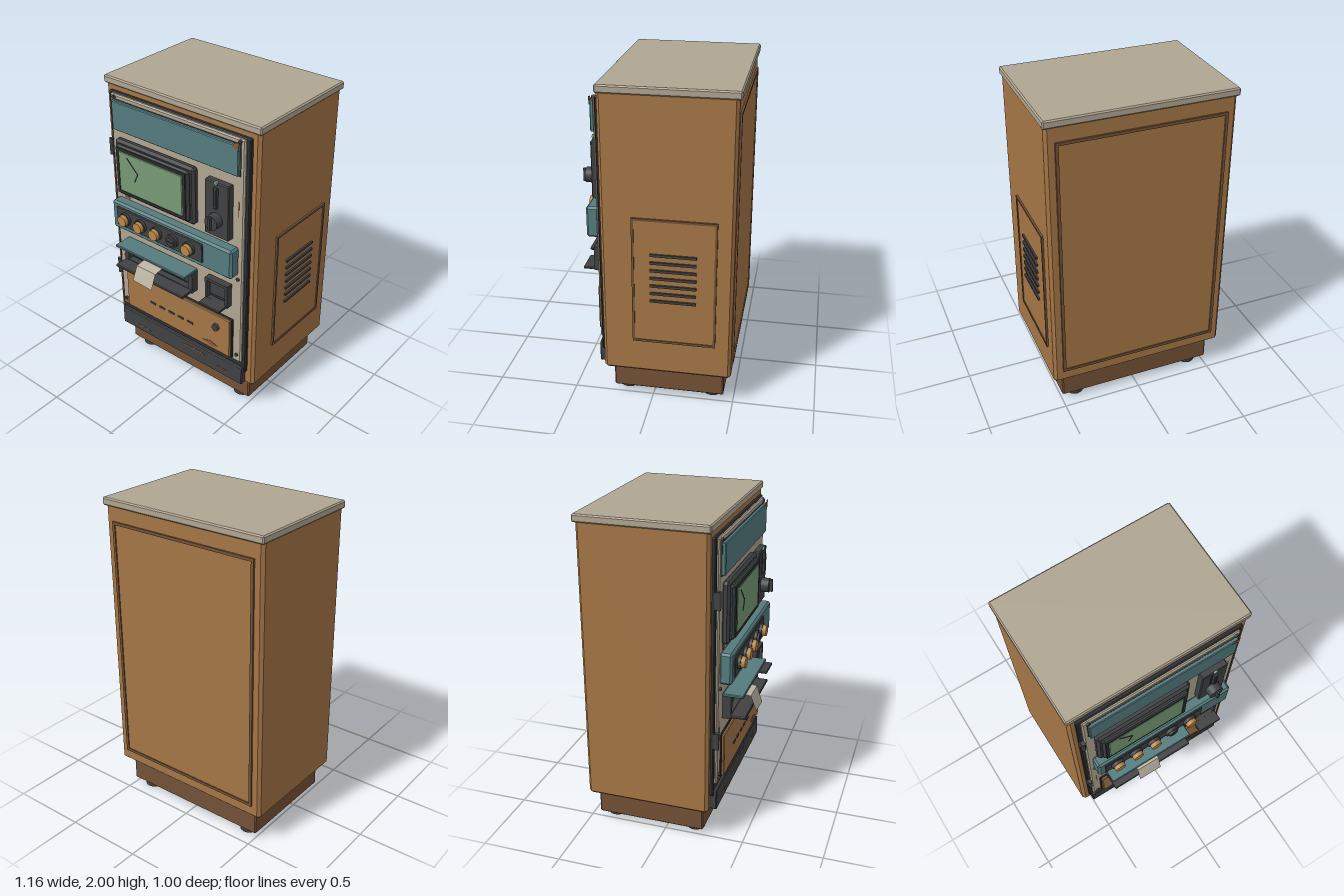
import * as THREE from 'three';
import { ConvexGeometry } from 'three/addons/geometries/ConvexGeometry.js';

function material(name, color, side = THREE.FrontSide) {
  const m = new THREE.MeshStandardMaterial({ color, side });
  m.name = name;
  return m;
}

export function createModel() {
  const model = new THREE.Group();
  model.name = 'vendingTerminal';
  const wood = material('wood', 0xa57646);
  const rust = material('rust', 0x85593a);
  const brown = material('dark brown', 0x745136);
  const cream = material('cream metal', 0xb0a592);
  const teal = material('teal metal', 0x557c7e);
  const dark = material('charcoal', 0x404143);
  const black = material('black', 0x2d2e30);
  const green = material('screen green', 0x779a75);
  const amber = material('amber', 0xba874a);
  const paper = material('paper', 0xbdb4a2, THREE.DoubleSide);

  const add = (name, geometry, mat) => {
    const mesh = new THREE.Mesh(geometry, mat);
    mesh.name = name;
    model.add(mesh);
    return mesh;
  };

  // Box given by its limits, with chamfered edges when c > 0
  const box = (name, mat, x0, x1, y0, y1, z0, z1, c = 0) => {
    const h = [(x1 - x0) / 2, (y1 - y0) / 2, (z1 - z0) / 2];
    let geometry;
    if (c) {
      const pts = [];
      for (const sx of [-1, 1]) for (const sy of [-1, 1]) for (const sz of [-1, 1]) {
        for (let k = 0; k < 3; k++) {
          const d = h.map((v, i) => (i === k ? v : v - c));
          pts.push(new THREE.Vector3(sx * d[0], sy * d[1], sz * d[2]));
        }
      }
      geometry = new ConvexGeometry(pts);
    } else geometry = new THREE.BoxGeometry(2 * h[0], 2 * h[1], 2 * h[2]);
    const mesh = add(name, geometry, mat);
    mesh.position.set((x0 + x1) / 2, (y0 + y1) / 2, (z0 + z1) / 2);
    return mesh;
  };

  // Cylinder pointing forward from z0 to z1
  const disc = (name, mat, x, y, r0, r1, z0, z1, n = 20) => {
    const mesh = add(name, new THREE.CylinderGeometry(r1, r0, z1 - z0, n), mat);
    mesh.rotation.x = Math.PI / 2;
    mesh.position.set(x, y, (z0 + z1) / 2);
  };

  // Rectangular frame, open in the middle, extruded forward
  const frame = (name, mat, x0, x1, y0, y1, z0, z1, t) => {
    const rect = (S, a, b, c, d) => new S([[a, c], [b, c], [b, d], [a, d]].map(p => new THREE.Vector2(...p)));
    const s = rect(THREE.Shape, x0, x1, y0, y1);
    s.holes.push(rect(THREE.Path, x0 + t, x1 - t, y0 + t, y1 - t));
    const geometry = new THREE.ExtrudeGeometry(s, { depth: z1 - z0, bevelEnabled: false });
    return add(name, geometry.translate(0, 0, z0), mat);
  };

  // Thin painted plate facing forward
  const patch = (name, z, points) => {
    const s = new THREE.Shape(points.map(p => new THREE.Vector2(...p)));
    add(name, new THREE.ExtrudeGeometry(s, { depth: 0.003, bevelEnabled: false }), rust).position.z = z - 0.001;
  };

  // Cabinet, worktop, plinth and feet
  box('cabinet', wood, -0.57, 0.562, 0.204, 1.97, -0.487, 0.295, 0.018);
  box('topSlab', cream, -0.58, 0.572, 1.952, 2.0, -0.502, 0.304, 0.008);
  box('plinth', brown, -0.51, 0.498, 0.04, 0.22, -0.44, 0.247, 0.008);
  for (const x of [-0.407, 0.394]) for (const z of [-0.361, 0.172]) {
    add('foot', new THREE.CylinderGeometry(0.06, 0.058, 0.05, 18), dark).position.set(x, 0.025, z);
  }

  // Back panel with raised border
  box('backPanel', wood, -0.505, 0.495, 0.3, 1.85, -0.491, -0.47);
  frame('backPanelBorder', brown, -0.515, 0.505, 0.287, 1.863, -0.498, -0.48, 0.018);

  // Side service panel with louvres
  box('sidePanel', wood, 0.55, 0.568, 0.435, 1.225, -0.385, 0.105);
  frame('sidePanelBorder', brown, -0.11, 0.39, 0.425, 1.235, 0.555, 0.574, 0.014).rotation.y = Math.PI / 2;
  for (let i = 0; i < 7; i++) {
    const y = 0.71 + i * 0.05;
    box('louvre', dark, 0.56, 0.579, y - 0.008, y + 0.008, -0.272, 0.002);
  }

  // Door, hinges and corner screws
  box('doorFrame', black, -0.528, 0.517, 0.31, 1.922, 0.285, 0.316, 0.006);
  box('doorPanel', cream, -0.505, 0.492, 0.385, 1.915, 0.305, 0.332, 0.008);
  for (const y of [0.69, 1.565]) {
    add('hinge', new THREE.CylinderGeometry(0.013, 0.013, 0.108, 12), dark).position.set(-0.516, y, 0.333);
    box('hingeLeaf', dark, -0.528, -0.502, y - 0.05, y + 0.05, 0.3, 0.335);
  }
  for (const x of [-0.47, 0.46]) for (const y of [0.44, 1.01, 1.9]) {
    disc('screw', dark, x, y, 0.012, 0.01, 0.33, 0.342, 10);
  }

  // Header plate
  box('headerEdge', dark, -0.478, 0.467, 1.692, 1.888, 0.325, 0.338);
  box('header', teal, -0.475, 0.465, 1.698, 1.885, 0.33, 0.357, 0.005);

  // Monitor
  box('monitorBack', dark, -0.45, 0.166, 1.277, 1.652, 0.325, 0.375, 0.015);
  box('monitorBezel', dark, -0.425, 0.14, 1.3, 1.63, 0.36, 0.396, 0.012);
  frame('monitorRim', black, -0.412, 0.125, 1.315, 1.62, 0.39, 0.403, 0.018);
  box('screen', green, -0.396, 0.108, 1.33, 1.605, 0.38, 0.405, 0.008);
  const crack = [[-0.325, 1.575], [-0.24, 1.49], [-0.267, 1.43]];
  for (let i = 0; i < 2; i++) {
    const [a, b] = [crack[i], crack[i + 1]];
    const dx = b[0] - a[0], dy = b[1] - a[1];
    const line = add('screenCrack', new THREE.BoxGeometry(Math.hypot(dx, dy), 0.005, 0.003), black);
    line.position.set((a[0] + b[0]) / 2, (a[1] + b[1]) / 2, 0.406);
    line.rotation.z = Math.atan2(dy, dx);
  }

  // Coin panel with slot, button and lock knob
  box('coinPanel', dark, 0.245, 0.417, 1.272, 1.625, 0.325, 0.374, 0.005);
  box('coinSlotPlate', dark, 0.318, 0.344, 1.465, 1.595, 0.37, 0.392, 0.004);
  box('coinSlot', black, 0.326, 0.336, 1.48, 1.58, 0.388, 0.394);
  box('coinSlotGuide', black, 0.306, 0.312, 1.465, 1.595, 0.37, 0.378);
  disc('coinButton', green, 0.33, 1.625, 0.014, 0.013, 0.37, 0.383, 12);
  disc('lockKnob', dark, 0.33, 1.387, 0.047, 0.045, 0.37, 0.425, 24);
  box('lockKnobGrip', dark, 0.323, 0.337, 1.347, 1.427, 0.415, 0.444);

  // Control band with five knobs, the fourth missing its cap
  box('controlBand', teal, -0.475, 0.463, 1.04, 1.235, 0.325, 0.404, 0.013);
  box('controlPlate', dark, -0.432, 0.255, 1.077, 1.207, 0.395, 0.413, 0.004);
  [-0.352, -0.224, -0.096, 0.032, 0.16].forEach((x, i) => {
    disc('knobBase', dark, x, 1.145, 0.043, 0.043, 0.41, 0.431);
    if (i === 3) {
      disc('knobStem', dark, x, 1.145, 0.032, 0.03, 0.43, 0.442, 12);
      box('knobStemSlot', black, x - 0.025, x + 0.025, 1.142, 1.148, 0.44, 0.444);
    } else disc('knobCap', amber, x, 1.145, 0.036, 0.034, 0.43, 0.455, 16);
  });

  // Printer with hood, tray and paper
  box('printerBack', black, -0.395, 0.135, 0.8, 0.945, 0.325, 0.345);
  frame('printerFrame', dark, -0.408, 0.15, 0.79, 0.95, 0.33, 0.384, 0.03);
  box('printerSlot', dark, -0.37, 0.11, 0.838, 0.925, 0.335, 0.362, 0.004);
  box('printerHood', teal, -0.415, 0.156, 0.936, 0.954, 0.335, 0.459, 0.004);
  box('printerTray', dark, -0.408, 0.15, 0.797, 0.815, 0.37, 0.474, 0.004);
  const strip = new THREE.PlaneGeometry(0.155, 1, 1, 2);
  const fold = [[0.885, 0.36], [0.872, 0.46], [0.77, 0.497]];
  const p = strip.attributes.position;
  for (let i = 0; i < p.count; i++) {
    const [y, z] = fold[Math.floor(i / 2)];
    p.setXYZ(i, p.getX(i) - 0.157 + (i >= 4 ? -0.004 : 0), y + (i === 4 ? 0.008 : 0), z);
  }
  add('paperStrip', strip.toNonIndexed(), paper).geometry.computeVertexNormals();

  // Return tray
  box('returnBack', black, 0.255, 0.405, 0.81, 0.945, 0.325, 0.345);
  frame('returnFrame', dark, 0.245, 0.415, 0.798, 0.955, 0.33, 0.376, 0.018);
  box('returnFlap', dark, 0.266, 0.394, 0.838, 0.935, 0.335, 0.358, 0.004);
  box('returnLip', dark, 0.25, 0.411, 0.8, 0.815, 0.36, 0.445, 0.003);

  // Lower service drawer
  box('drawerBorder', black, -0.447, 0.432, 0.4, 0.7, 0.325, 0.342, 0.004);
  box('drawer', wood, -0.437, 0.422, 0.41, 0.692, 0.33, 0.356, 0.005);
  for (let i = 0; i < 5; i++) {
    const x = -0.208 + i * 0.079;
    box('drawerSlot', dark, x - 0.023, x + 0.023, 0.523, 0.537, 0.35, 0.361);
  }
  disc('drawerLock', dark, 0.318, 0.602, 0.025, 0.024, 0.35, 0.374, 16);

  // Kick plate
  box('kickPlate', dark, -0.515, 0.503, 0.214, 0.347, 0.29, 0.335, 0.005);

  // Worn patches and scratches
  patch('drawerWear', 0.3565, [[0.208, 0.45], [0.285, 0.43], [0.328, 0.45], [0.27, 0.468]]);
  patch('topWear', 0.3575, [[0.42, 1.872], [0.466, 1.855], [0.47, 1.905], [0.445, 1.9]]);
  patch('monitorWear', 0.3325, [[-0.43, 1.236], [-0.38, 1.24], [-0.41, 1.265], [-0.43, 1.285]]);
  patch('bottomWear', 0.3325, [[-0.5, 0.394], [-0.405, 0.394], [-0.44, 0.42], [-0.49, 0.425]]);
  const scratch = (x, y, w, h, z) => box('scratch', rust, x - w / 2, x + w / 2, y - h / 2, y + h / 2, z - 0.002, z + 0.001);
  scratch(-0.33, 0.254, 0.13, 0.008, 0.3355);
  scratch(0.113, 0.302, 0.18, 0.008, 0.3355);
  scratch(0.34, 0.267, 0.08, 0.005, 0.3355);
  scratch(-0.466, 0.735, 0.006, 0.13, 0.3325);
  scratch(0.456, 1.48, 0.006, 0.1, 0.3325);
  return model;
}
